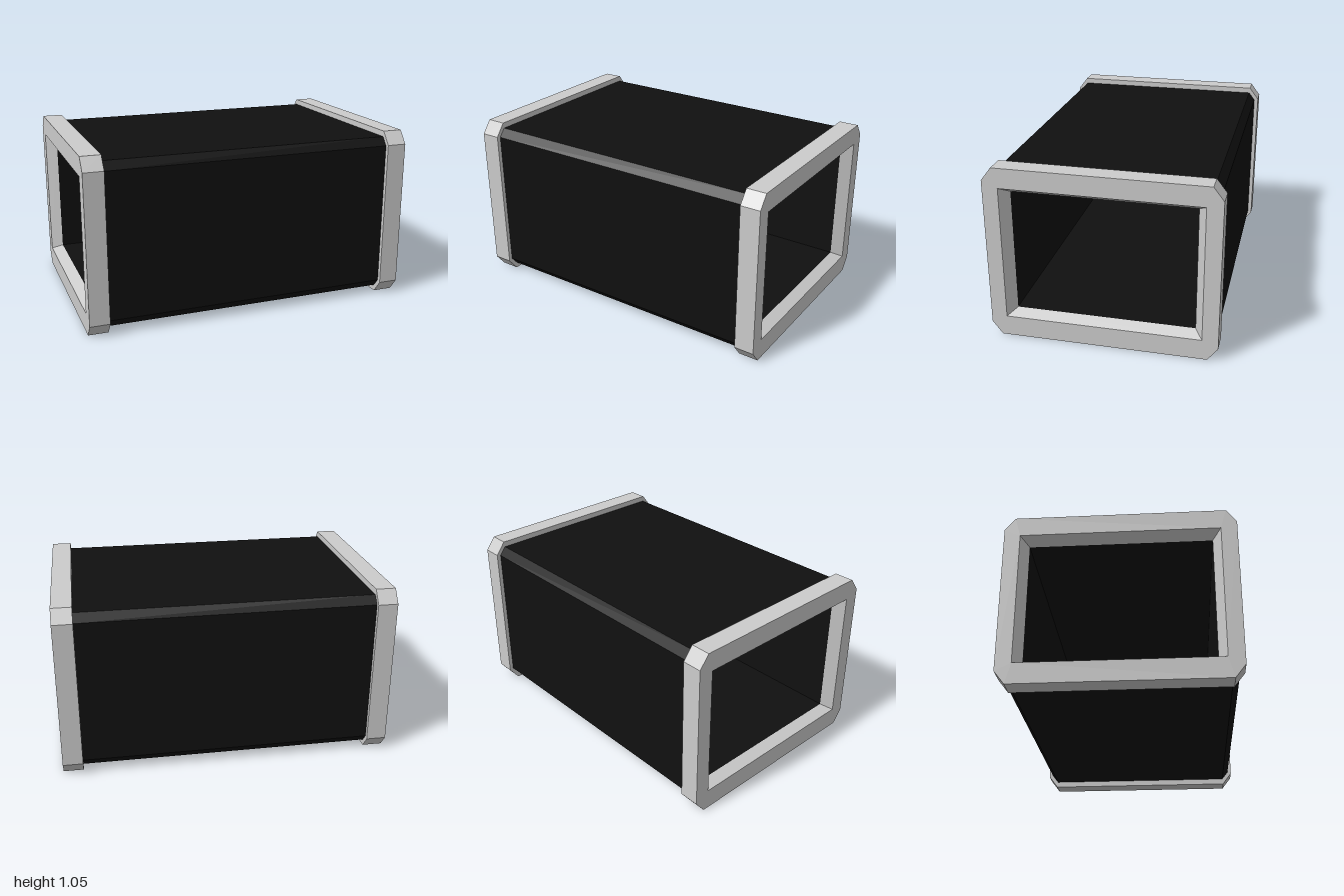
import * as THREE from 'three';

// Chamfered rectangle in the z-y plane at x, counterclockwise seen from +x
function ring(x, halfZ, y0, y1, cz = 0, cy = 0) {
  return [
    [-halfZ + cz, y0], [-halfZ, y0 + cy], [-halfZ, y1 - cy], [-halfZ + cz, y1],
    [halfZ - cz, y1], [halfZ, y1 - cy], [halfZ, y0 + cy], [halfZ - cz, y0],
  ].map(([z, y]) => new THREE.Vector3(x, y, z));
}

// Skin a sequence of rings with flat faces
function loft(rings) {
  const points = [];
  const addTriangle = (a, b, c) => {
    if (new THREE.Triangle(a, b, c).getArea() > 1e-8) points.push(a, b, c);
  };
  for (let r = 0; r < rings.length - 1; r++) {
    const a = rings[r], b = rings[r + 1];
    for (let i = 0; i < a.length; i++) {
      const j = (i + 1) % a.length;
      addTriangle(a[i], a[j], b[i]);
      addTriangle(a[j], b[j], b[i]);
    }
  }
  const geometry = new THREE.BufferGeometry().setFromPoints(points);
  geometry.computeVertexNormals();
  return geometry;
}

export function createModel() {
  const grey = new THREE.MeshStandardMaterial({ color: 0xcccccc, flatShading: true });
  const black = new THREE.MeshStandardMaterial({ color: 0x101010, flatShading: true });
  const model = new THREE.Group();
  model.name = 'rectangularTunnel';

  const tubeOuter = (x) => ring(x, 0.645, 0.037, 1.02, 0.04, 0.05);
  const tubeInner = (x) => ring(x, 0.53, 0.155, 0.897);

  // Hollow tube: outer skin and inner lining
  const shell = new THREE.Mesh(loft([tubeOuter(-0.885), tubeOuter(0.885)]), black);
  shell.name = 'tubeOuterWall';
  const lining = new THREE.Mesh(loft([tubeInner(0.933), tubeInner(-0.933)]), black);
  lining.name = 'tubeInnerWall';
  model.add(shell, lining);

  // End frames with chamfered corners and a bevelled opening
  const frameGeometry = loft([
    tubeOuter(0.88),
    ring(0.88, 0.67, 0, 1.055, 0.06, 0.078),
    ring(1, 0.67, 0, 1.055, 0.06, 0.078),
    ring(1, 0.577, 0.124, 0.936),
    tubeInner(0.933),
  ]);
  for (const [name, turn] of [['leftEndFrame', 0], ['rightEndFrame', Math.PI]]) {
    const frame = new THREE.Mesh(frameGeometry, grey);
    frame.name = name;
    frame.rotation.y = turn;
    model.add(frame);
  }
  return model;
}
